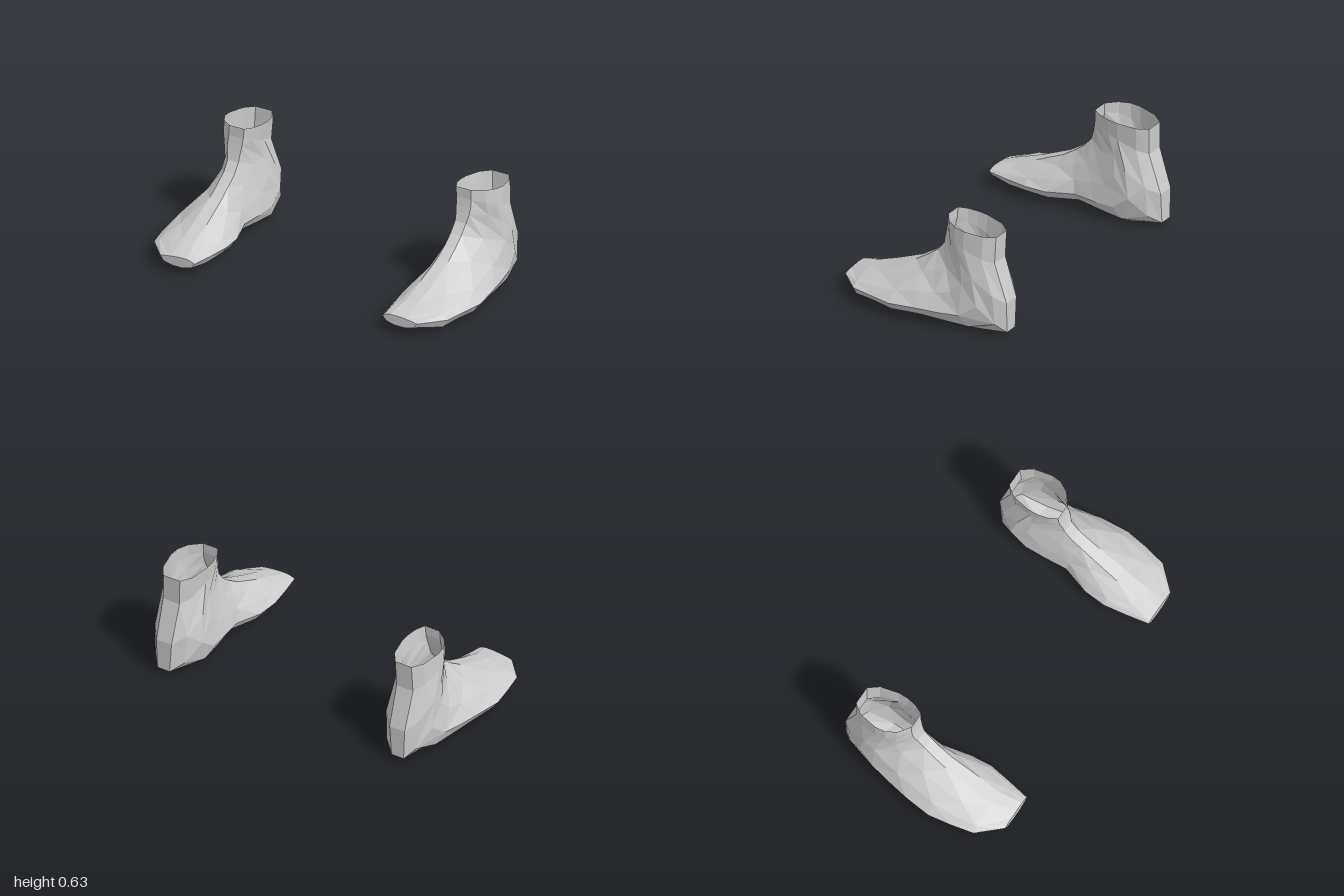
import * as THREE from 'three';

// Piecewise linear lookup in rows of [key, value, value], keys ascending
function lookup(rows, key, column) {
  if (key <= rows[0][0]) return rows[0][column];
  for (let i = 1; i < rows.length; i++) {
    const a = rows[i - 1], b = rows[i];
    if (key <= b[0]) return THREE.MathUtils.lerp(a[column], b[column], (key - a[0]) / (b[0] - a[0]));
  }
  return rows[rows.length - 1][column];
}

// Footprint: z, inner x, outer x
const footprint = [
  [-0.53, 0.68, 0.87], [-0.46, 0.635, 0.89], [-0.38, 0.605, 0.91], [-0.2, 0.61, 0.95],
  [-0.03, 0.625, 0.985], [0.13, 0.575, 1.0], [0.24, 0.56, 0.985], [0.4, 0.585, 0.95], [0.53, 0.61, 0.83],
];
// Ankle: y, inner x, outer x
const ankle = [[0.3, 0.63, 0.905], [0.48, 0.66, 0.89], [0.63, 0.645, 0.885]];

// Rings from toe to opening: top z, top y, bottom z, bottom y, ridge position, ankle blend
const rings = [
  [0.53, 0.112, 0.53, 0.052, 0.3, 0],
  [0.40, 0.158, 0.40, 0.018, 0.45, 0],
  [0.27, 0.208, 0.26, 0.026, 0.6, 0],
  [0.10, 0.285, 0.15, 0.016, 0.7, 0],
  [0.02, 0.338, -0.04, 0.035, 0.76, 0.1],
  [-0.04, 0.385, -0.20, 0.018, 0.76, 0.25],
  [-0.085, 0.44, -0.35, 0.0, 0.75, 0.4],
  [-0.10, 0.49, -0.53, 0.027, 0.66, 0.8],
  [-0.11, 0.53, -0.53, 0.21, 0.58, 1],
  [-0.118, 0.575, -0.455, 0.44, 0.5, 1],
  [-0.12, 0.635, -0.46, 0.6, 0.5, 1],
];
const footWidths = [0.22, 0.58, 0.86, 1, 0.82, 0.3];
const ankleWidths = [0.4, 0.78, 0.97, 1, 0.82, 0.45];

// Points around one ring: down the outer side, then up the inner side
function ringPoints([tz, ty, bz, by, ridge, blend]) {
  const steps = [0, 0.3 * ridge, 0.65 * ridge, ridge, ridge + 0.65 * (1 - ridge), 1];
  const outer = [], inner = [];
  steps.forEach((s, i) => {
    const z = THREE.MathUtils.lerp(tz, bz, s), y = THREE.MathUtils.lerp(ty, by, s);
    const t = THREE.MathUtils.clamp((y - 0.1) / 0.3, 0, 1);
    const xi = THREE.MathUtils.lerp(lookup(footprint, z, 1), lookup(ankle, y, 1), t);
    const xo = THREE.MathUtils.lerp(lookup(footprint, z, 2), lookup(ankle, y, 2), t);
    const w = THREE.MathUtils.lerp(footWidths[i], ankleWidths[i], blend);
    // the crest of the instep lies toward the inner side
    const mid = (xi + xo) / 2 - 0.04 * (1 - w) * (s < 0.5 ? 1.3 : 0);
    const half = (xo - xi) / 2;
    outer.push([mid + w * half, y, z]);
    inner.unshift([mid - w * half, y, z]);
  });
  return [...outer, ...inner];
}

function footGeometry(side) {
  const positions = [], index = [];
  const tri = (a, b, c) => (side > 0 ? index.push(a, b, c) : index.push(a, c, b));
  for (const ring of rings) {
    for (const [x, y, z] of ringPoints(ring)) positions.push(side * x, y, z);
  }
  const n = footWidths.length * 2;
  for (let i = 0; i < rings.length - 1; i++) {
    for (let j = 0; j < n; j++) {
      const k = (j + 1) % n;
      const a = i * n + j, b = i * n + k, c = a + n, d = b + n;
      if ((i + j) % 2) { tri(a, b, d); tri(a, d, c); }
      else { tri(a, b, c); tri(b, d, c); }
    }
  }
  // blunt toe face
  for (let j = 1; j < n - 1; j++) tri(0, j + 1, j);
  const geometry = new THREE.BufferGeometry();
  geometry.setAttribute('position', new THREE.Float32BufferAttribute(positions, 3));
  geometry.setIndex(index);
  const flat = geometry.toNonIndexed();
  flat.computeVertexNormals();
  return flat;
}

export function createModel() {
  const group = new THREE.Group();
  group.name = 'pairOfFeet';
  const grey = new THREE.MeshStandardMaterial({ color: 0xcccccc, flatShading: true, side: THREE.DoubleSide });
  grey.name = 'light grey';
  // open-topped left and right foot
  for (const [name, side] of [['leftFoot', 1], ['rightFoot', -1]]) {
    const foot = new THREE.Mesh(footGeometry(side), grey);
    foot.name = name;
    group.add(foot);
  }
  return group;
}
